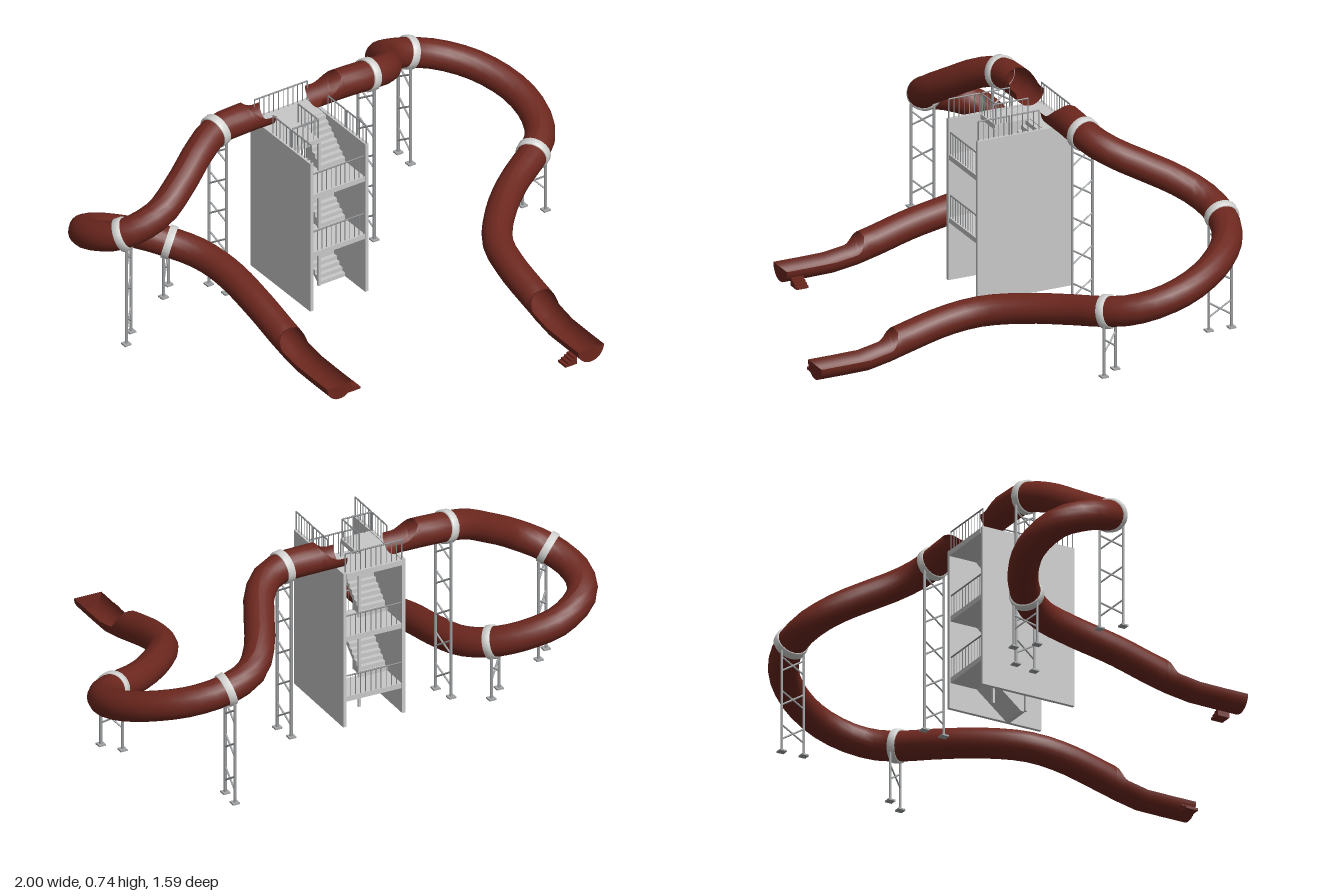
import * as THREE from 'three';

const V = (x, y, z) => new THREE.Vector3(x, y, z);
const mat = (name, color, side = THREE.FrontSide) => {
  const m = new THREE.MeshStandardMaterial({ color, side });
  m.name = name;
  return m;
};

export function createModel() {
  const root = new THREE.Group();
  root.name = 'waterSlideTower';
  const red = mat('slideRed', 0x6c271e, THREE.DoubleSide);
  const wall = mat('concreteGrey', 0xc8c8c8);
  const steel = mat('steelGrey', 0xa2a4a6);
  const collarMat = mat('collarGrey', 0xd4d4d2);
  const railMat = mat('railGrey', 0x8c8e90);

  const add = (parent, name, geo, m) => {
    const mesh = new THREE.Mesh(geo, m);
    mesh.name = name;
    parent.add(mesh);
    return mesh;
  };
  const group = (name) => {
    const g = new THREE.Group();
    g.name = name;
    root.add(g);
    return g;
  };
  // box given by its min and max corners
  const box = (parent, name, m, x0, x1, y0, y1, z0, z1) =>
    add(parent, name, new THREE.BoxGeometry(x1 - x0, y1 - y0, z1 - z0), m)
      .position.set((x0 + x1) / 2, (y0 + y1) / 2, (z0 + z1) / 2);
  // thin rod between two points
  const rod = (parent, name, m, a, b, r) => {
    const mesh = add(parent, name, new THREE.CylinderGeometry(r, r, a.distanceTo(b), 6), m);
    mesh.position.copy(a).add(b).multiplyScalar(0.5);
    mesh.quaternion.setFromUnitVectors(V(0, 1, 0), b.clone().sub(a).normalize());
  };

  // ---- Stair tower ----
  const tower = group('stairTower');
  box(tower, 'leftWall', wall, 0.008, 0.022, 0, 0.628, -0.444, -0.06);
  box(tower, 'rightWall', wall, -0.232, -0.218, 0, 0.628, -0.444, -0.06);
  for (const z of [-0.33, -0.195]) box(tower, 'centrePost', wall, -0.11, -0.1, 0, 0.61, z, z + 0.008);
  for (const y of [0.12, 0.365]) box(tower, 'backLanding', wall, -0.218, 0.008, y - 0.02, y, -0.44, -0.33);
  for (const y of [0.245, 0.49]) box(tower, 'frontLanding', wall, -0.218, 0.008, y - 0.02, y, -0.19, -0.062);
  box(tower, 'topDeckBack', wall, -0.218, 0.008, 0.605, 0.625, -0.445, -0.33);
  box(tower, 'topDeckSide', wall, -0.218, -0.1, 0.605, 0.625, -0.33, -0.19);

  // stair flight climbing from z0 to z1
  const flight = (x1, width, y0, y1, z0, z1) => {
    const n = 8, dz = (z1 - z0) / n, dy = (y1 - y0) / n;
    const s = new THREE.Shape();
    s.moveTo(z0, y0);
    for (let i = 0; i < n; i++) {
      s.lineTo(z0 + i * dz, y0 + (i + 1) * dy);
      s.lineTo(z0 + (i + 1) * dz, y0 + (i + 1) * dy);
    }
    s.lineTo(z1, y1 - 0.02);
    s.lineTo(z0 + dz, y0);
    const geo = new THREE.ExtrudeGeometry(s, { depth: width, bevelEnabled: false });
    geo.rotateY(-Math.PI / 2);
    add(tower, 'stairFlight', geo, wall).position.x = x1;
  };
  for (const [a, b] of [[0, 0.12], [0.245, 0.365], [0.49, 0.622]]) flight(0.008, 0.108, a, b, -0.19, -0.33);
  for (const [a, b] of [[0.12, 0.245], [0.365, 0.49]]) flight(-0.11, 0.108, a, b, -0.33, -0.19);

  // ---- Railings ----
  const rails = group('railings');
  const rail = (a, b, h) => {
    const n = Math.max(2, Math.round(a.distanceTo(b) / 0.021));
    const up = V(0, h, 0);
    rod(rails, 'handrail', railMat, a.clone().add(up), b.clone().add(up), 0.003);
    for (let i = 0; i <= n; i++) {
      const p = a.clone().lerp(b, i / n);
      rod(rails, 'baluster', railMat, p, p.clone().add(up), i % n ? 0.0016 : 0.0025);
    }
  };
  for (const y of [0.245, 0.49]) rail(V(-0.216, y, -0.068), V(0.006, y, -0.068), 0.085);
  for (const y of [0.12, 0.365, 0.62]) rail(V(-0.22, y, -0.436), V(0.01, y, -0.436), 0.083);
  for (const x of [-0.225, 0.015]) {
    rail(V(x, 0.62, -0.065), V(x, 0.62, -0.19), 0.083);
    rail(V(x, 0.62, -0.2), V(x, 0.62, -0.31), 0.083);
  }
  rail(V(-0.218, 0.62, -0.195), V(-0.105, 0.62, -0.195), 0.083);
  rail(V(-0.105, 0.62, -0.195), V(-0.105, 0.62, -0.325), 0.083);

  // ---- Slides ----
  const R = 0.056, SIDES = 20;
  const frame = (t) => {
    const side = t.clone().cross(V(0, 1, 0)).normalize();
    return { side, up: side.clone().cross(t) };
  };
  // sweeps a circle along the curve, opening into a half pipe at both ends
  const slideGeometry = (curve) => {
    const L = curve.getLength(), pos = [], idx = [], stations = [];
    // each station: distance along the curve, share of the upper half that is closed
    const rim = (f) => 0.65 * Math.max(0, f) ** 2;
    for (const d of [0, 0.03, 0.045, 0.06, 0.075, 0.09, 0.1]) stations.push([d, rim((d - 0.03) / 0.07)]);
    for (let i = 0; i <= 44; i++) stations.push([0.101 + (i / 44) * (L - 0.437), 1]);
    for (const d of [0.335, 0.325, 0.315, 0.305, 0.295, 0.285, 0.2, 0.1, 0]) {
      stations.push([L - d, rim((d - 0.285) / 0.05)]);
    }
    stations.forEach(([d, closed], k) => {
      const c = curve.getPointAt(d / L), { side, up } = frame(curve.getTangentAt(d / L));
      const half = (Math.PI / 2) * (1 + closed);
      for (let j = 0; j <= SIDES; j++) {
        const a = half * ((2 * j) / SIDES - 1);
        const p = c.clone().addScaledVector(side, R * Math.sin(a)).addScaledVector(up, -R * Math.cos(a));
        pos.push(p.x, p.y, p.z);
        if (k && j < SIDES) {
          const q = k * (SIDES + 1) + j, o = q - SIDES - 1;
          idx.push(o, o + 1, q, o + 1, q + 1, q);
        }
      }
    });
    const geo = new THREE.BufferGeometry();
    geo.setAttribute('position', new THREE.Float32BufferAttribute(pos, 3));
    geo.setIndex(idx);
    geo.computeVertexNormals();
    return geo;
  };

  // collar ring around the tube on a braced pair of poles below its lowest point
  const support = (curve, u) => {
    const g = group('slideSupport');
    const c = curve.getPoint(u), t = curve.getTangent(u), { side, up } = frame(t);
    const profile = [[0.053, -0.014], [0.063, -0.014], [0.063, 0.014], [0.053, 0.014]];
    const ring = add(g, 'collar', new THREE.LatheGeometry(
      profile.map(([x, y]) => new THREE.Vector2(x, y)), 24), collarMat);
    ring.position.copy(c);
    ring.quaternion.setFromUnitVectors(V(0, 1, 0), t);
    const foot = c.clone().addScaledVector(up, -0.05);
    const at = (s, y) => V(foot.x + side.x * s * 0.044, y, foot.z + side.z * s * 0.044);
    const top = c.y - 0.04;
    for (const s of [-1, 1]) {
      rod(g, 'pole', steel, at(s, 0), at(s, top), 0.0055);
      const f = at(s, 0);
      box(g, 'footPlate', steel, f.x - 0.014, f.x + 0.014, 0, 0.006, f.z - 0.014, f.z + 0.014);
    }
    const n = Math.max(1, Math.floor(top / 0.115));
    for (let i = 0; i < n; i++) {
      const y = ((i + 0.6) * top) / n;
      for (const s of [-1, 1]) rod(g, 'brace', steel, at(s, y - 0.028), at(-s, y + 0.028), 0.0035);
    }
  };

  const buildSlide = (name, path, collars, stepDir) => {
    const g = group(name);
    const curve = new THREE.CatmullRomCurve3(path.map((p) => V(...p)), false, 'centripetal');
    curve.arcLengthDivisions = 800;
    add(g, 'slideTube', slideGeometry(curve), red);
    for (const i of collars) support(curve, i / (path.length - 1));
    // closed end of the run-out and its exit steps
    const [x, y, z] = path[path.length - 1];
    add(g, 'endPlate', new THREE.CircleGeometry(R, 20, Math.PI, Math.PI), red).position.set(x, y, z);
    for (let i = 0; i < 4; i++) {
      const a = x + stepDir * (0.05 + i * 0.0125), b = a + stepDir * 0.0125;
      box(g, 'exitStep', red, Math.min(a, b), Math.max(a, b), 0, 0.03 - i * 0.007, z - 0.065, z - 0.017);
    }
  };

  buildSlide('leftSlide', [
    [0.0, 0.686, -0.38], [0.13, 0.685, -0.38], [0.235, 0.68, -0.38], [0.31, 0.663, -0.4], [0.37, 0.632, -0.455],
    [0.42, 0.585, -0.55], [0.47, 0.535, -0.645], [0.54, 0.485, -0.715], [0.65, 0.447, -0.732],
    [0.77, 0.412, -0.695], [0.875, 0.373, -0.6], [0.937, 0.328, -0.47], [0.94, 0.29, -0.35],
    [0.9, 0.26, -0.25], [0.825, 0.238, -0.185], [0.68, 0.208, -0.1], [0.55, 0.185, 0.01],
    [0.45, 0.16, 0.14], [0.42, 0.135, 0.27], [0.416, 0.085, 0.47], [0.416, 0.06, 0.57],
    [0.416, 0.057, 0.68], [0.416, 0.057, 0.79],
  ], [2, 8, 14], -1);

  buildSlide('rightSlide', [
    [-0.2, 0.686, -0.38], [-0.32, 0.685, -0.38], [-0.43, 0.678, -0.375], [-0.53, 0.645, -0.335],
    [-0.65, 0.575, -0.28], [-0.77, 0.505, -0.247], [-0.89, 0.44, -0.295], [-0.942, 0.39, -0.42],
    [-0.91, 0.35, -0.52], [-0.8, 0.295, -0.565], [-0.68, 0.25, -0.535], [-0.575, 0.21, -0.46],
    [-0.505, 0.185, -0.36], [-0.477, 0.165, -0.22], [-0.475, 0.13, -0.03], [-0.475, 0.085, 0.14],
    [-0.475, 0.06, 0.27], [-0.475, 0.057, 0.38], [-0.475, 0.057, 0.49],
  ], [2, 6, 11], 1);

  return root;
}
